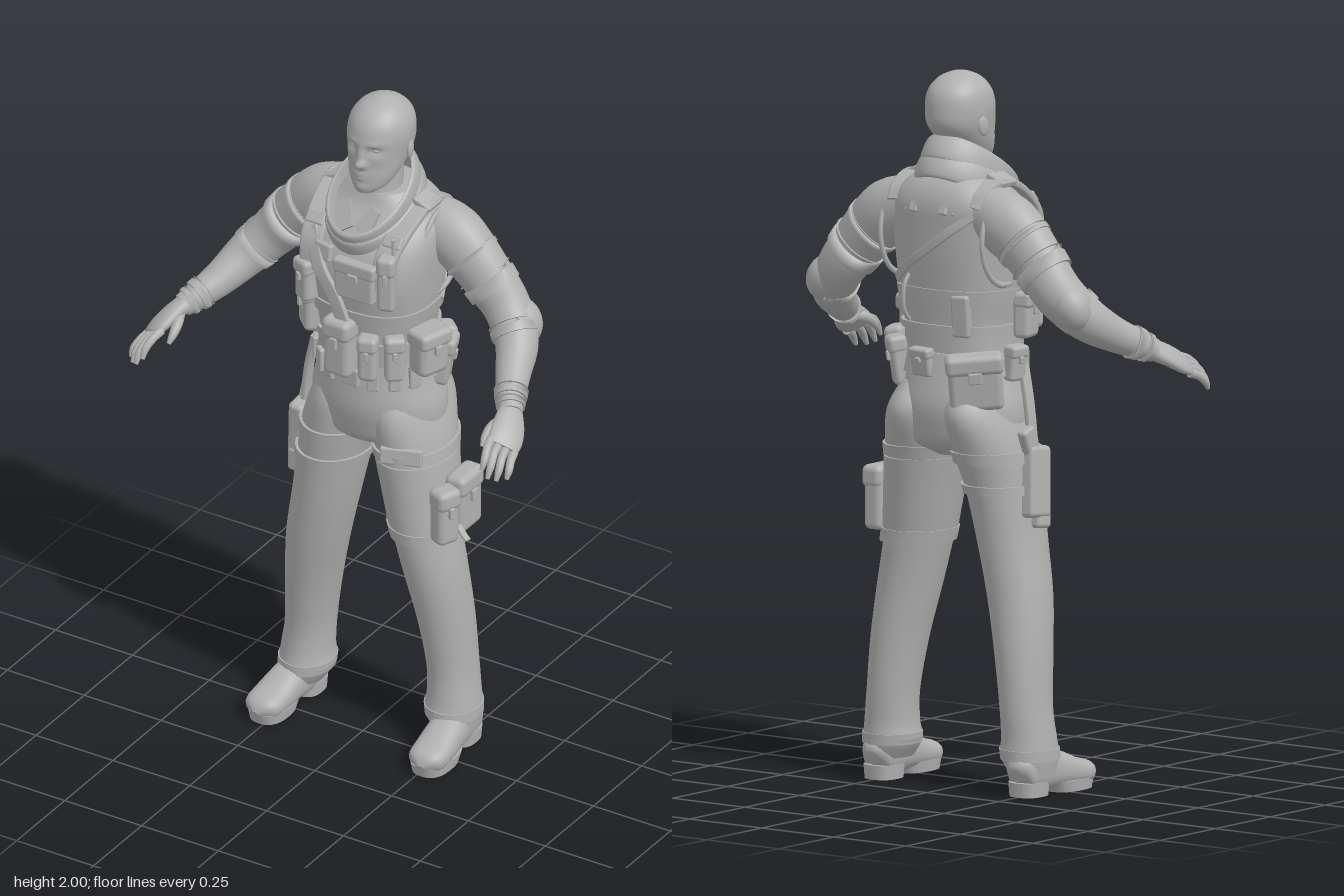
import * as THREE from 'three';
import { RoundedBoxGeometry } from 'three/addons/geometries/RoundedBoxGeometry.js';

const grey = new THREE.MeshStandardMaterial({ color: 0xb0b0b0 });
grey.name = 'plain grey';

export function createModel() {
  const model = new THREE.Group();
  model.name = 'fieldOperator';
  const V = (a) => new THREE.Vector3(...a);

  function add(name, geo, pos = [0, 0, 0], rot = [0, 0, 0], scale = [1, 1, 1]) {
    const m = new THREE.Mesh(geo, grey);
    m.name = name;
    m.position.set(...pos);
    m.rotation.set(...rot, 'YXZ');
    m.scale.set(...scale);
    model.add(m);
    return m;
  }

  // Skin over rows [x, y, z, radiusA, radiusB]; flat keeps the sections level, p < 1 squares them.
  function loft(name, rows, { flat = false, p = 1, n = 28, ref = [0, 1, 0], step = 4, warp } = {}) {
    const path = new THREE.CatmullRomCurve3(rows.map((r) => V(r.slice(0, 3))), false, 'catmullrom');
    const radii = new THREE.CatmullRomCurve3(rows.map((r) => V([r[3], r[4], 0])), false, 'catmullrom');
    const count = (rows.length - 1) * step, pos = [], idx = [];
    const pw = (v) => Math.sign(v) * Math.abs(v) ** p;
    const rings = [], centres = [];
    for (let i = 0; i <= count; i++) {
      const c = path.getPoint(i / count), r = radii.getPoint(i / count);
      const t = flat ? V([0, 1, 0]) : path.getTangent(i / count);
      const u = flat ? V([1, 0, 0]) : V(ref).addScaledVector(t, -V(ref).dot(t)).normalize();
      const w = u.clone().cross(t);
      const ring = [];
      for (let j = 0; j < n; j++) {
        const q = (j / n) * Math.PI * 2;
        const v = c.clone().addScaledVector(u, r.x * pw(Math.cos(q))).addScaledVector(w, r.y * pw(Math.sin(q)));
        if (warp) warp(v);
        ring.push(v);
        pos.push(v.x, v.y, v.z);
      }
      rings.push(ring);
      centres.push(c);
    }
    for (let i = 0; i < count; i++) for (let j = 0; j < n; j++) {
      const k = (j + 1) % n, a = i * n + j, b = a + n, c = i * n + k, d = c + n;
      idx.push(a, b, c, b, d, c);
    }
    for (const end of [0, count]) {
      const base = pos.length / 3;
      pos.push(...centres[end].toArray());
      rings[end].forEach((v) => pos.push(v.x, v.y, v.z));
      for (let j = 0; j < n; j++) {
        const a = base + 1 + j, b = base + 1 + ((j + 1) % n);
        idx.push(base, ...(end ? [b, a] : [a, b]));
      }
    }
    const g = new THREE.BufferGeometry();
    g.setAttribute('position', new THREE.Float32BufferAttribute(pos, 3));
    g.setIndex(idx);
    g.computeVertexNormals();
    return add(name, g);
  }

  // Band hugging a loft between two row positions
  function wrap(name, rows, t0, t1, grow, opt) {
    const at = (t) => {
      const i = Math.min(Math.floor(t), rows.length - 2), f = t - i;
      return rows[i].map((v, k) => v + (rows[i + 1][k] - v) * f + (k > 2 ? grow : 0));
    };
    loft(name, [at(t0), at(t1)], { ...opt, step: 2 });
  }
  const box = (name, pos, size, rot) =>
    add(name, new RoundedBoxGeometry(...size, 2, Math.min(...size) * 0.3), pos, rot);
  const strap = (name, pts, ref, half = 0.018, thick = 0.008) =>
    loft(name, pts.map((q) => [...q, half, thick]), { p: 0.3, n: 16, ref });
  const ball = (name, pos, scale, rot) => add(name, new THREE.SphereGeometry(1, 20, 14), pos, rot, scale);

  // Pouch with a flap and a buckle, facing its own +z
  function pouch(name, pos, [w, h, d], rot = [0, 0, 0]) {
    const g = new THREE.Group();
    g.name = name;
    const parts = [['Body', [0, 0, 0], [w, h, d]], ['Flap', [0, h * 0.33, d * 0.05], [w * 1.08, h * 0.36, d * 1.12]],
      ['Buckle', [0, h * 0.12, d * 0.58], [w * 0.25, h * 0.2, 0.012]]];
    for (const [part, at, size] of parts) g.add(box(name + part, at, size));
    g.position.set(...pos);
    g.rotation.set(...rot, 'YXZ');
    model.add(g);
  }
  // Place a pouch around the waist by angle from the front
  function waistPouch(name, deg, y, size, lean = 0, roll = 0) {
    const q = THREE.MathUtils.degToRad(deg), a = 0.172 + size[2] * 0.4, b = 0.145 + size[2] * 0.4;
    pouch(name, [a * Math.sin(q), y, -0.08 + b * Math.cos(q)], size,
      [lean, Math.atan2(Math.sin(q) / a, Math.cos(q) / b), roll]);
  }

  // Head, with the face pressed out by soft bumps [x, y, width, height, depth]
  const bumps = [[0, 1.838, 0.013, 0.013, 0.021], [0, 1.865, 0.01, 0.022, 0.012], [0, 1.806, 0.02, 0.005, 0.005],
    [0, 1.793, 0.018, 0.006, 0.005], [0, 1.765, 0.02, 0.014, 0.005]];
  for (const s of [1, -1]) bumps.push([s * 0.035, 1.88, 0.018, 0.012, -0.009], [s * 0.036, 1.9, 0.022, 0.009, 0.004],
    [s * 0.05, 1.853, 0.022, 0.018, 0.005], [s * 0.013, 1.834, 0.008, 0.008, 0.005]);
  loft('head', [[0, 1.745, -0.02, 0.03, 0.032], [0, 1.765, -0.045, 0.056, 0.06], [0, 1.8, -0.068, 0.073, 0.083],
    [0, 1.85, -0.095, 0.085, 0.105], [0, 1.9, -0.098, 0.091, 0.108], [0, 1.945, -0.1, 0.084, 0.097],
    [0, 1.978, -0.1, 0.06, 0.068], [0, 1.995, -0.1, 0.028, 0.032], [0, 2, -0.1, 0.003, 0.003]],
  { flat: true, n: 72, step: 8, warp: (v) => {
    if (v.z > -0.06) for (const [x, y, w, h, d] of bumps)
      v.z += d * Math.exp(-(((v.x - x) / w) ** 2) - ((v.y - y) / h) ** 2);
  } });
  loft('neck', [[0, 1.6, -0.095, 0.08, 0.085], [0, 1.7, -0.09, 0.064, 0.07], [0, 1.82, -0.1, 0.06, 0.068]], { flat: true });
  for (const s of [1, -1]) {
    ball('eye', [s * 0.034, 1.88, -0.013], [0.013, 0.008, 0.01]);
    ball('ear', [s * 0.087, 1.853, -0.108], [0.008, 0.029, 0.018], [-0.2, s * 0.25, 0]);
    const lapel = new THREE.Shape([[0.004, 0], [0.05, -0.035], [0.065, 0.055], [0.035, 0.07]].map(([x, y]) => new THREE.Vector2(s * x, y)));
    add('shirtLapel', new THREE.ExtrudeGeometry(lapel, { depth: 0.012, bevelEnabled: false }), [0, 1.65, 0.04], [-0.55, 0, 0]);
  }

  // Tilted stand-up collar and the layer beneath it
  const rim = [[0.88, -0.04], [1, -0.045], [1.04, -0.01], [1.02, 0.03], [0.97, 0.042], [0.92, 0.035], [0.88, -0.04]];
  const collar = new THREE.LatheGeometry(new THREE.SplineCurve(rim.map((q) => new THREE.Vector2(...q))).getPoints(24), 48);
  add('collar', collar, [0, 1.712, -0.055], [0.58, 0, 0], [0.116, 0.85, 0.165]);
  add('collarBase', collar, [0, 1.675, -0.068], [0.48, 0, 0], [0.126, 0.8, 0.168]);

  // Torso in its vest
  const torso = [[0, 1.2, -0.08, 0.16, 0.14], [0, 1.3, -0.075, 0.162, 0.147], [0, 1.4, -0.073, 0.18, 0.158],
    [0, 1.5, -0.072, 0.19, 0.17], [0, 1.58, -0.083, 0.195, 0.163], [0, 1.64, -0.105, 0.187, 0.142],
    [0, 1.69, -0.118, 0.145, 0.112], [0, 1.73, -0.11, 0.09, 0.085]];
  const trunk = { flat: true, p: 0.8, n: 48 };
  loft('vest', torso, trunk);
  wrap('vestHem', torso, 0.85, 1.05, 0.009, trunk);
  wrap('vestWaistBand', torso, 1.65, 2.05, 0.006, trunk);
  box('backYoke', [0, 1.635, -0.225], [0.18, 0.045, 0.024], [0.35, 0, 0]);
  strap('backSling', [[-0.15, 1.63, -0.208], [-0.075, 1.575, -0.24], [0, 1.52, -0.245], [0.075, 1.47, -0.234], [0.14, 1.42, -0.196],
    [0.178, 1.39, -0.12]], [0.4, 0.9, 0], 0.012, 0.006);
  box('backSheath', [-0.09, 1.335, -0.21], [0.055, 0.12, 0.03], [-0.1, 0.15, 0]);
  add('backHose', new THREE.TubeGeometry(new THREE.CatmullRomCurve3([[0.08, 1.44, -0.225], [0.085, 1.41, -0.24], [0.09, 1.34, -0.235],
    [0.09, 1.29, -0.19]].map(V)), 20, 0.006, 8));
  for (const s of [1, -1]) {
    strap('shoulderStrap', [[0.115, 1.5, 0.085], [0.12, 1.6, 0.068], [0.132, 1.675, -0.02], [0.138, 1.705, -0.11],
      [0.132, 1.68, -0.185], [0.125, 1.64, -0.215]].map(([x, y, z]) => [s * x, y, z]), [1, 0, 0], 0.034, 0.01);
    box('strapClip', [s * 0.125, 1.64, 0.04], [0.06, 0.04, 0.022], [-0.7, 0, 0]);
    box('shoulderPatch', [s * 0.145, 1.708, -0.1], [0.06, 0.02, 0.07], [0, 0, -s * 0.4]);
    box('backClip', [s * 0.05, 1.64, -0.235], [0.03, 0.05, 0.02], [0.35, 0, 0]);
    add('armholeRim', new THREE.TorusGeometry(1, 0.07, 8, 36), [s * 0.176, 1.55, -0.125], [0, Math.PI / 2, 0], [0.105, 0.13, 0.1]);
  }

  // Chest gear
  pouch('chestPouch', [0.035, 1.515, 0.094], [0.125, 0.12, 0.03]);
  pouch('radio', [0.128, 1.53, 0.08], [0.05, 0.17, 0.045], [0, 0.3, 0]);
  add('radioAerial', new THREE.CylinderGeometry(0.006, 0.006, 0.07, 8), [0.14, 1.63, 0.065]);
  strap('chestSling', [[-0.13, 1.62, 0.055], [-0.08, 1.53, 0.1], [-0.03, 1.45, 0.104], [0, 1.37, 0.1]], [0.8, 0.5, 0], 0.02);
  pouch('sideChestPouch', [-0.135, 1.46, 0.075], [0.06, 0.13, 0.05], [0, -0.4, 0]);
  box('chestTab', [-0.075, 1.57, 0.083], [0.06, 0.05, 0.02], [-0.15, -0.2, 0]);

  // Waist gear
  waistPouch('tallPouch', -4, 1.29, [0.085, 0.18, 0.065]);
  waistPouch('magazinePouch', 20, 1.27, [0.055, 0.14, 0.055]);
  waistPouch('magazinePouch', 42, 1.27, [0.055, 0.14, 0.05]);
  waistPouch('canteenPouch', 74, 1.28, [0.1, 0.14, 0.075]);
  waistPouch('hipPouch', 108, 1.2, [0.075, 0.15, 0.05], 0.15);
  waistPouch('rearHipPouch', 135, 1.19, [0.06, 0.14, 0.05], 0.15);
  waistPouch('smallRearPouch', 172, 1.2, [0.07, 0.08, 0.03], 0.15);
  waistPouch('rearPouch', -137, 1.155, [0.15, 0.16, 0.06], 0.15, 0.08);
  waistPouch('utilityPouch', -48, 1.35, [0.08, 0.14, 0.06]);
  waistPouch('utilityPouch', -78, 1.33, [0.08, 0.13, 0.05]);
  waistPouch('smallPouch', -95, 1.2, [0.06, 0.1, 0.04], 0.1);

  // Hips, with the belt and its keepers
  const hips = [[0, 0.935, -0.092, 0.05, 0.085], [0, 0.97, -0.092, 0.18, 0.134], [0, 1.02, -0.092, 0.198, 0.151],
    [0, 1.08, -0.09, 0.196, 0.16], [0, 1.15, -0.085, 0.176, 0.153], [0, 1.22, -0.08, 0.163, 0.142], [0, 1.25, -0.08, 0.16, 0.14]];
  const level = { flat: true };
  loft('hips', hips, { ...level, n: 48 });
  wrap('belt', hips, 4.2, 5.2, 0.01, { ...level, n: 48 });
  box('beltBuckle', [0.01, 1.19, 0.078], [0.055, 0.055, 0.02]);
  for (const deg of [-62, -38, -22, 24, 44, 64]) {
    const q = THREE.MathUtils.degToRad(deg);
    box('beltKeeper', [0.178 * Math.sin(q), 1.19, -0.083 + 0.16 * Math.cos(q)], [0.035, 0.07, 0.018], [0, q, 0]);
  }

  for (const s of [1, -1]) {
    const leg = [[0.25, 0.06, -0.09, 0.06, 0.078], [0.237, 0.11, -0.093, 0.079, 0.088], [0.237, 0.16, -0.096, 0.074, 0.082],
      [0.23, 0.25, -0.1, 0.07, 0.081], [0.214, 0.4, -0.09, 0.078, 0.089], [0.19, 0.55, -0.075, 0.088, 0.098],
      [0.16, 0.7, -0.07, 0.093, 0.108], [0.135, 0.85, -0.076, 0.1, 0.122], [0.115, 0.96, -0.09, 0.106, 0.143],
      [0.098, 1.06, -0.104, 0.09, 0.16], [0.09, 1.14, -0.1, 0.06, 0.12]].map(([x, ...r]) => [s * x, ...r]);
    loft('trouserLeg', leg, level);
    wrap('trouserCuff', leg, 0.8, 1.4, 0.004, level);
    if (s > 0) {
      wrap('thighPad', leg, 6.05, 7.6, 0.006, level);
      wrap('lowerThighStrap', leg, 5.8, 6.05, 0.01, level);
    } else wrap('lowerThighStrap', leg, 6.9, 7.1, 0.008, level);
    wrap('upperThighStrap', leg, 7.65, 7.95, 0.008, level);

    // Boots
    loft('boot', [[0.25, 0.055, -0.172, 0.012, 0.015], [0.25, 0.065, -0.152, 0.045, 0.055], [0.252, 0.072, -0.09, 0.052, 0.062],
      [0.258, 0.064, -0.02, 0.054, 0.054], [0.264, 0.05, 0.05, 0.057, 0.04], [0.267, 0.042, 0.105, 0.05, 0.032],
      [0.268, 0.034, 0.132, 0.01, 0.008]].map(([x, ...r]) => [s * x, ...r]), { ref: [1, 0, 0], p: 0.85 });
    loft('heel', [[s * 0.251, 0, -0.115, 0.047, 0.053], [s * 0.251, 0.04, -0.115, 0.05, 0.056]], { ...level, p: 0.75 });
    loft('sole', [[s * 0.264, 0, 0.045, 0.052, 0.076], [s * 0.264, 0.032, 0.04, 0.056, 0.09]], { ...level, p: 0.8 });

    // Arms
    const arm = [[0.12, 1.63, -0.148, 0.075, 0.07], [0.2, 1.595, -0.148, 0.09, 0.079], [0.26, 1.548, -0.147, 0.085, 0.073],
      [0.32, 1.485, -0.147, 0.077, 0.067], [0.38, 1.415, -0.145, 0.07, 0.066], [0.438, 1.348, -0.1, 0.062, 0.061],
      [0.474, 1.3, -0.025, 0.05, 0.05], [0.506, 1.268, 0.04, 0.041, 0.041], [0.533, 1.245, 0.085, 0.033, 0.033]]
      .map(([x, ...r]) => [s * x, ...r]);
    loft('sleeve', arm);
    wrap('armBand', arm, 1.9, 2.15, 0.004);
    wrap('rolledSleeve', arm, 2.75, 3.35, 0.007);
    wrap('elbowStrap', arm, 4.5, 4.85, 0.004);
    wrap('gloveCuff', arm, 6.8, 7.2, 0.006);
    wrap('wristStrap', arm, 7.4, 7.7, 0.005);
    box('armPatch', [s * 0.29, 1.58, -0.145], [0.1, 0.02, 0.045], [0, 0, -s * 0.8]);
    ball('elbowPad', [s * 0.425, 1.385, -0.145], [0.055, 0.07, 0.06], [0, -s * 0.4, s * 0.5]);

    // Hands: palm, four curled fingers and a thumb
    const across = [s * 0.75, -0.5, -0.3];
    loft('palm', [[0.528, 1.25, 0.075, 0.033, 0.028], [0.548, 1.232, 0.115, 0.045, 0.024], [0.563, 1.21, 0.155, 0.05, 0.021],
      [0.57, 1.195, 0.185, 0.045, 0.014]].map(([x, ...r]) => [s * x, ...r]), { ref: across });
    for (let i = 0; i < 4; i++) {
      const k = (i - 1.5) * 0.026, len = [0.95, 1.08, 1, 0.8][i];
      const at = (f, dy, dz, r) => [s * (0.566 + 0.75 * k + 0.015 * f), 1.197 - 0.5 * k + dy * len, 0.178 - 0.3 * k + dz * len, r, r];
      loft('finger', [at(0, 0, 0, 0.013), at(0.5, -0.012, 0.035, 0.012), at(1, -0.035, 0.062, 0.011), at(1, -0.062, 0.078, 0.006)], { n: 12 });
    }
    loft('thumb', [[0.528, 1.235, 0.11, 0.017, 0.017], [0.512, 1.225, 0.145, 0.015, 0.015], [0.508, 1.205, 0.175, 0.012, 0.012],
      [0.51, 1.185, 0.195, 0.006, 0.006]].map(([x, ...r]) => [s * x, ...r]), { n: 12 });
  }

  // Thigh gear: pouches on the left, holster on the right
  pouch('thighPouch', [0.262, 0.785, -0.105], [0.11, 0.18, 0.06], [0, Math.PI / 2, 0]);
  pouch('thighPouchFront', [0.262, 0.78, -0.005], [0.07, 0.17, 0.06], [0, 1.2, 0]);
  strap('thighPouchTail', [[0.28, 0.73, -0.05], [0.3, 0.715, -0.04], [0.32, 0.7, -0.035]], [0, 0, 1], 0.01, 0.004);
  box('thighPocketFlap', [0.15, 0.955, 0.04], [0.12, 0.05, 0.02], [-0.1, 0.35, 0]);
  strap('holsterHanger', [[-0.19, 1.19, -0.06], [-0.218, 1.08, -0.07], [-0.232, 0.95, -0.07]], [0, 0, 1]);
  box('holster', [-0.24, 0.87, -0.07], [0.05, 0.2, 0.09], [0.1, 0, -0.08]);
  box('holsterMuzzle', [-0.248, 0.78, -0.06], [0.04, 0.08, 0.06], [0.1, 0, -0.08]);
  box('pistolGrip', [-0.235, 0.985, -0.095], [0.032, 0.08, 0.05], [-0.4, 0, 0]);
  return model;
}
